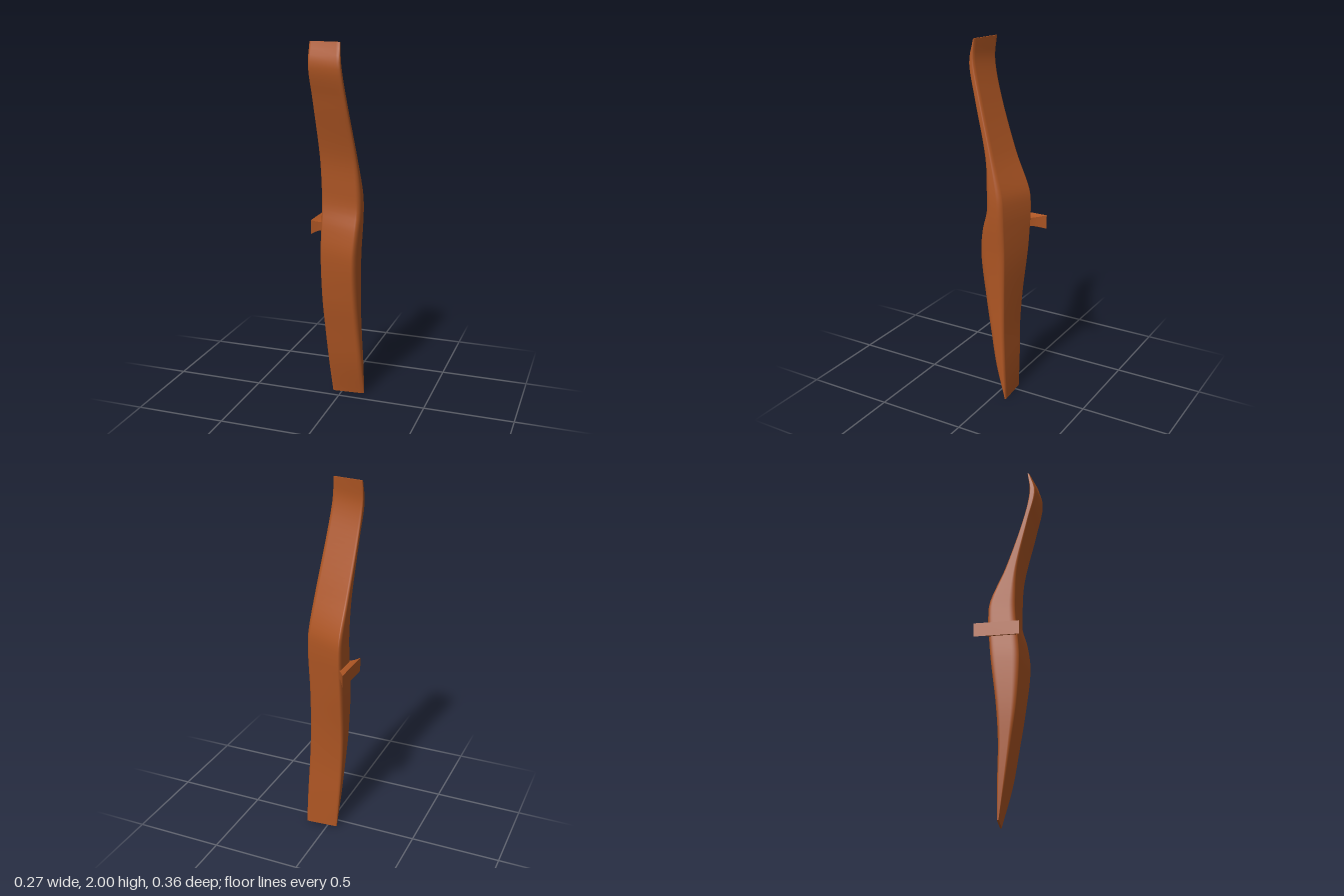
import * as THREE from 'three';
import { toCreasedNormals } from 'three/addons/utils/BufferGeometryUtils.js';

// Skin a list of closed rings (counterclockwise seen from the last ring) and cap both ends.
function loft(rings) {
  const n = rings[0].length, pos = [], idx = [];
  rings.forEach(r => r.forEach(p => pos.push(...p)));
  for (let j = 0; j < rings.length - 1; j++) {
    for (let i = 0; i < n; i++) {
      const a = j * n + i, b = j * n + (i + 1) % n;
      idx.push(a, b, a + n, b, b + n, a + n);
    }
  }
  const cap = (ring, flip) => {
    const start = pos.length / 3;
    ring.forEach(p => pos.push(...p));
    for (let i = 1; i < n - 1; i++) {
      if (flip) idx.push(start, start + i + 1, start + i);
      else idx.push(start, start + i, start + i + 1);
    }
  };
  cap(rings[0], true);
  cap(rings[rings.length - 1], false);
  const g = new THREE.BufferGeometry();
  g.setAttribute('position', new THREE.Float32BufferAttribute(pos, 3));
  g.setIndex(idx);
  g.computeVertexNormals();
  return g;
}

// Rounded unit section (u: left to right, v: back to front), softer on the +x side.
function roundedSection() {
  const pts = [], steps = 6;
  const corners = [ // centre u, centre v, radius u, radius v, start angle
    [0.88, 0.62, 0.12, 0.38, 0], [0.9, 0.25, 0.1, 0.25, 1],
    [0.07, 0.22, 0.07, 0.22, 2], [0.07, 0.78, 0.07, 0.22, 3],
  ];
  for (const [cu, cv, ru, rv, q] of corners) {
    for (let i = 0; i <= steps; i++) {
      const t = (q - 1 + i / steps) * Math.PI / 2;
      pts.push([cu + ru * Math.cos(t), cv - rv * Math.sin(t)]);
    }
  }
  return pts;
}

// Height, left x, right x, then z at left front, right front, right back, left back
const STATIONS = [
  [0.00, -0.052, 0.130, -0.053, -0.068, -0.078, -0.063],
  [0.20, -0.068, 0.130, -0.020, -0.008, -0.066, -0.062],
  [0.40, -0.080, 0.124, 0.010, 0.031, -0.055, -0.058],
  [0.60, -0.090, 0.120, 0.038, 0.066, -0.050, -0.070],
  [0.85, -0.095, 0.123, 0.053, 0.097, -0.050, -0.100],
  [1.00, -0.093, 0.131, 0.045, 0.080, -0.048, -0.113],
  [1.10, -0.092, 0.134, 0.036, 0.051, -0.046, -0.118],
  [1.20, -0.092, 0.132, 0.034, 0.050, -0.037, -0.108],
  [1.40, -0.095, 0.113, 0.048, 0.066, 0.018, -0.020],
  [1.70, -0.106, 0.083, 0.115, 0.145, 0.105, 0.084],
  [1.88, -0.114, 0.068, 0.158, 0.184, 0.150, 0.123],
  [2.00, -0.115, 0.060, 0.124, 0.158, 0.150, 0.114],
];

// Smooth station values between the given heights
function sample(y) {
  let k = 0;
  while (k < STATIONS.length - 2 && y > STATIONS[k + 1][0]) k++;
  const A = STATIONS[k], B = STATIONS[k + 1];
  const P = STATIONS[Math.max(k - 1, 0)], N = STATIONS[Math.min(k + 2, STATIONS.length - 1)];
  const h = B[0] - A[0], t = (y - A[0]) / h;
  return A.map((a, c) => {
    const b = B[c];
    const ma = (b - P[c]) / (B[0] - P[0]) * h, mb = (N[c] - a) / (N[0] - A[0]) * h;
    return (2 * t ** 3 - 3 * t * t + 1) * a + (t ** 3 - 2 * t * t + t) * ma
      + (3 * t * t - 2 * t ** 3) * b + (t ** 3 - t * t) * mb;
  });
}

export function createModel() {
  const group = new THREE.Group();
  group.name = 'twistedWood';
  const wood = new THREE.MeshStandardMaterial({ color: 0xad5523 });
  wood.name = 'reddish brown wood';

  // Long curved body, thick in the middle and thin at both ends
  const section = roundedSection(), rings = [], rows = 60;
  for (let j = 0; j <= rows; j++) {
    const y = 2 * j / rows;
    const [, xl, xr, lf, rf, rb, lb] = sample(y);
    rings.push(section.map(([u, v]) => [
      xl + (xr - xl) * u, y,
      (lb + (rb - lb) * u) * (1 - v) + (lf + (rf - lf) * u) * v,
    ]));
  }
  const body = new THREE.Mesh(loft(rings), wood);
  body.name = 'body';
  group.add(body);

  // Short flared stub on the -x edge: x, front z, back z, low y, high y
  const flare = [
    [-0.07, 0.03, -0.09, 0.985, 1.032],
    [-0.097, 0.042, -0.118, 0.985, 1.033],
    [-0.115, 0.052, -0.145, 0.979, 1.037],
    [-0.137, 0.065, -0.182, 0.968, 1.046],
  ];
  const stubRings = flare.map(([x, zf, zb, y0, y1]) =>
    [[x, y0, zf], [x, y1, zf], [x, y1, zb], [x, y0, zb]]);
  const stub = new THREE.Mesh(toCreasedNormals(loft(stubRings), 0.6), wood);
  stub.name = 'sideStub';
  group.add(stub);

  return group;
}
